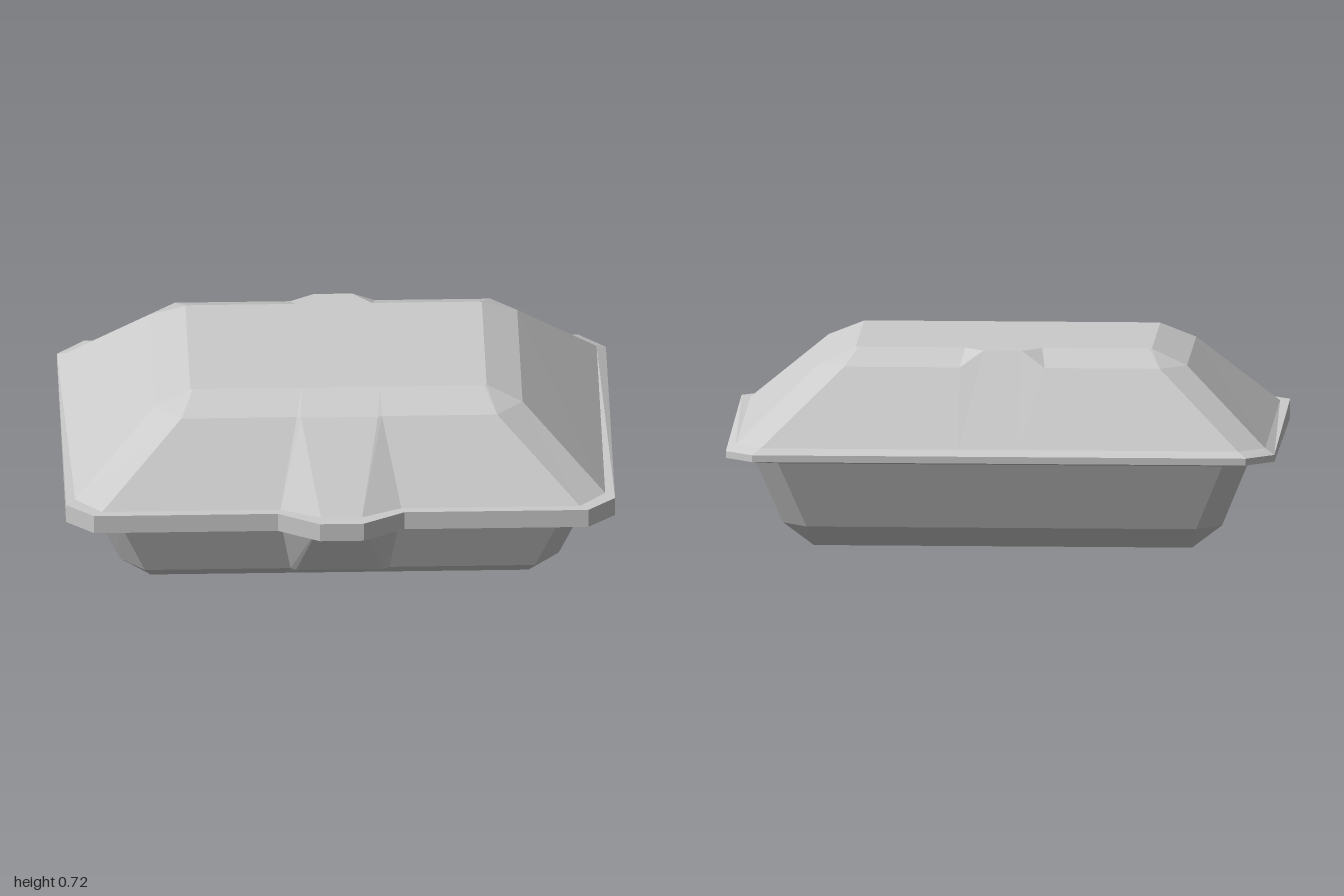
import * as THREE from 'three';

// Half outline from front centre, round the left side, to back centre: [x, y, z]
// The mirrored half completes the closed ring.
function ring(half) {
  const mirrored = half.map(([x, y, z]) => [-x, y, z]).reverse();
  return [...half, ...mirrored];
}

// Joins rings from bottom to top with flat facets, with optional end caps
function loft(name, rings, { bottom = false, top = false } = {}) {
  const pos = [];
  const n = rings[0].length;
  const tri = (a, b, c) => pos.push(...a, ...b, ...c);
  for (let i = 0; i < rings.length - 1; i++) {
    for (let j = 0; j < n; j++) {
      const k = (j + 1) % n;
      const a = rings[i][j], b = rings[i][k], c = rings[i + 1][k], d = rings[i + 1][j];
      tri(a, b, c);
      tri(a, c, d);
    }
  }
  const cap = (r, up) => {
    const centre = [0, r[0][1], 0];
    r.forEach((p, j) => {
      const q = r[(j + 1) % n];
      if (up) tri(centre, p, q);
      else tri(centre, q, p);
    });
  };
  if (bottom) cap(rings[0], false);
  if (top) cap(rings[rings.length - 1], true);

  const geo = new THREE.BufferGeometry();
  geo.setAttribute('position', new THREE.Float32BufferAttribute(pos, 3));
  geo.computeVertexNormals();
  const mesh = new THREE.Mesh(geo, new THREE.MeshStandardMaterial({
    color: 0xcccccc, flatShading: true, side: THREE.DoubleSide,
  }));
  mesh.name = name;
  return mesh;
}

export function createModel() {
  // Tray: flat base, bevel, then flared walls with a small front spout
  const base = ring([
    [0.16, 0, 0.365], [0.18, 0, 0.365], [0.69, 0, 0.365], [0.69, 0, 0.36],
    [0.69, 0, -0.435], [0.69, 0, -0.44], [0.15, 0, -0.44], [0.07, 0, -0.44],
  ]);
  const bevel = ring([
    [0.16, 0.075, 0.485], [0.18, 0.08, 0.48], [0.71, 0.08, 0.48], [0.8, 0.08, 0.385],
    [0.8, 0.085, -0.455], [0.71, 0.085, -0.555], [0.15, 0.085, -0.555], [0.07, 0.085, -0.555],
  ]);
  const trayTop = ring([
    [0.08, 0.33, 0.64], [0.22, 0.33, 0.565], [0.81, 0.33, 0.565], [0.9, 0.33, 0.465],
    [0.9, 0.33, -0.54], [0.81, 0.33, -0.64], [0.15, 0.33, -0.64], [0.07, 0.33, -0.64],
  ]);

  // Rim: chamfered corners, pointed spout at the front, thinning to the back
  const rimRing = (front, back) => ring([
    [0.08, front, 0.745], [0.23, front, 0.66], [0.9, front, 0.66], [1, front, 0.57],
    [1, back, -0.65], [0.9, back, -0.75], [0.15, back, -0.75], [0.07, back, -0.75],
  ]);

  // Lid: sloped sides, shoulder and flat top with a small peak at the back
  const lidBase = ring([
    [0.075, 0.4, 0.695], [0.22, 0.4, 0.628], [0.87, 0.4, 0.628], [0.965, 0.4, 0.53],
    [0.965, 0.395, -0.62], [0.87, 0.395, -0.71], [0.15, 0.395, -0.71], [0.07, 0.395, -0.71],
  ]);
  const shoulder = ring([
    [0.14, 0.665, 0.415], [0.155, 0.665, 0.41], [0.575, 0.665, 0.41], [0.67, 0.665, 0.31],
    [0.67, 0.665, -0.4], [0.575, 0.665, -0.49], [0.155, 0.665, -0.49], [0.07, 0.72, -0.44],
  ]);
  const lidTop = ring([
    [0.135, 0.72, 0.285], [0.15, 0.72, 0.285], [0.53, 0.72, 0.285], [0.54, 0.72, 0.28],
    [0.54, 0.72, -0.36], [0.53, 0.72, -0.365], [0.14, 0.72, -0.365], [0.07, 0.72, -0.44],
  ]);

  const model = new THREE.Group();
  model.name = 'lidded tray';
  model.add(
    loft('tray', [base, bevel, trayTop], { bottom: true }),
    loft('rim', [trayTop, rimRing(0.33, 0.35), rimRing(0.4, 0.375), lidBase]),
    loft('lid', [lidBase, shoulder, lidTop], { top: true }),
  );
  return model;
}
